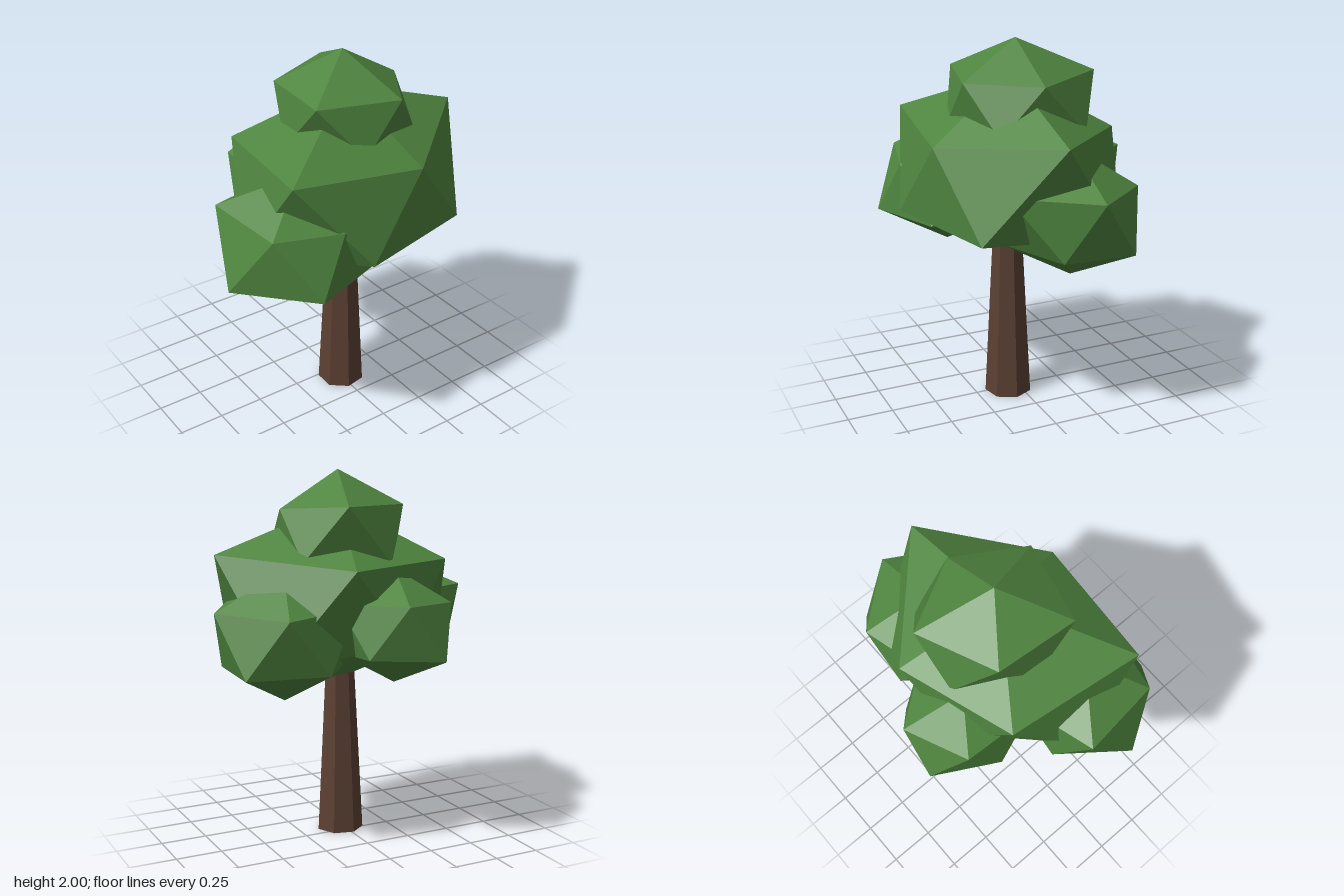
import * as THREE from 'three';

const leafGreen = new THREE.MeshStandardMaterial({ color: 0x4f853f, flatShading: true });
leafGreen.name = 'leafGreen';
const barkBrown = new THREE.MeshStandardMaterial({ color: 0x5c4033, flatShading: true });
barkBrown.name = 'barkBrown';

// Irregular 20-sided clump: apex, five upper points, five lower points, bottom.
// lower[i] sits between upper[i] and upper[i + 1].
function clump(name, apex, upper, lower, bottom) {
  const pos = [];
  const tri = (...corners) => corners.forEach((c) => pos.push(...c));
  for (let i = 0; i < 5; i++) {
    const j = (i + 1) % 5;
    tri(apex, upper[j], upper[i]);
    tri(upper[i], upper[j], lower[i]);
    tri(lower[i], upper[j], lower[j]);
    tri(bottom, lower[i], lower[j]);
  }
  const geo = new THREE.BufferGeometry();
  geo.setAttribute('position', new THREE.Float32BufferAttribute(pos, 3));
  geo.computeVertexNormals();
  const mesh = new THREE.Mesh(geo, leafGreen);
  mesh.name = name;
  return mesh;
}

export function createModel() {
  const tree = new THREE.Group();
  tree.name = 'tree';

  // Tapered seven-sided trunk
  const trunkGeo = new THREE.CylinderGeometry(0.073, 0.13, 1.1, 7, 1, false, THREE.MathUtils.degToRad(-14));
  const trunk = new THREE.Mesh(trunkGeo, barkBrown);
  trunk.name = 'trunk';
  trunk.position.set(0.015, 0.55, 0.065);
  tree.add(trunk);

  // Large central foliage
  tree.add(clump('mainFoliage', [0.03, 1.82, 0.06],
    [[0.73, 1.575, 0.06], [0.17, 1.5, 0.54], [-0.55, 1.565, 0.465], [-0.45, 1.53, -0.27], [0.18, 1.515, -0.47]],
    [[0.52, 1.07, 0.425], [-0.17, 1.085, 0.61], [-0.61, 1.03, 0.08], [-0.16, 1.1, -0.4], [0.56, 1.03, -0.33]],
    [0.01, 0.86, 0.07]));

  // Crown on top
  tree.add(clump('topFoliage', [0.04, 2, 0.03],
    [[0.38, 1.8, 0.02], [0.16, 1.81, 0.37], [-0.28, 1.825, 0.265], [-0.24, 1.82, -0.18], [0.17, 1.825, -0.36]],
    [[0.35, 1.55, 0.25], [-0.06, 1.55, 0.38], [-0.3, 1.54, 0.01], [-0.08, 1.53, -0.35], [0.36, 1.54, -0.22]],
    [0.04, 1.34, 0.01]));

  // Side clump toward -x
  tree.add(clump('rightFoliage', [-0.39, 1.51, 0.26],
    [[-0.31, 1.295, 0.555], [-0.67, 1.32, 0.47], [-0.725, 1.345, 0.025], [-0.28, 1.33, -0.1], [-0.01, 1.33, 0.25]],
    [[-0.49, 1, 0.635], [-0.81, 0.99, 0.27], [-0.55, 1, -0.07], [-0.09, 1, 0.03], [-0.04, 1.01, 0.48]],
    [-0.37, 0.815, 0.27]));

  // Side clump toward +x
  tree.add(clump('leftFoliage', [0.42, 1.5, -0.11],
    [[0.8, 1.3, -0.11], [0.555, 1.315, 0.3], [0.11, 1.31, 0.11], [0.11, 1.31, -0.33], [0.53, 1.285, -0.435]],
    [[0.7, 0.99, 0.065], [0.3, 1, 0.25], [0.04, 1, -0.11], [0.3, 0.99, -0.42], [0.72, 0.985, -0.325]],
    [0.42, 0.815, -0.11]));

  // Small clump at the back
  tree.add(clump('backFoliage', [-0.12, 1.5, -0.31],
    [[0.21, 1.335, -0.32], [0, 1.335, 0], [-0.38, 1.335, -0.11], [-0.36, 1.33, -0.48], [-0.03, 1.345, -0.63]],
    [[0.15, 1.06, -0.13], [-0.21, 1.06, 0], [-0.42, 1.06, -0.31], [-0.235, 1.055, -0.645], [0.13, 1.07, -0.51]],
    [-0.12, 0.9, -0.31]));

  return tree;
}
